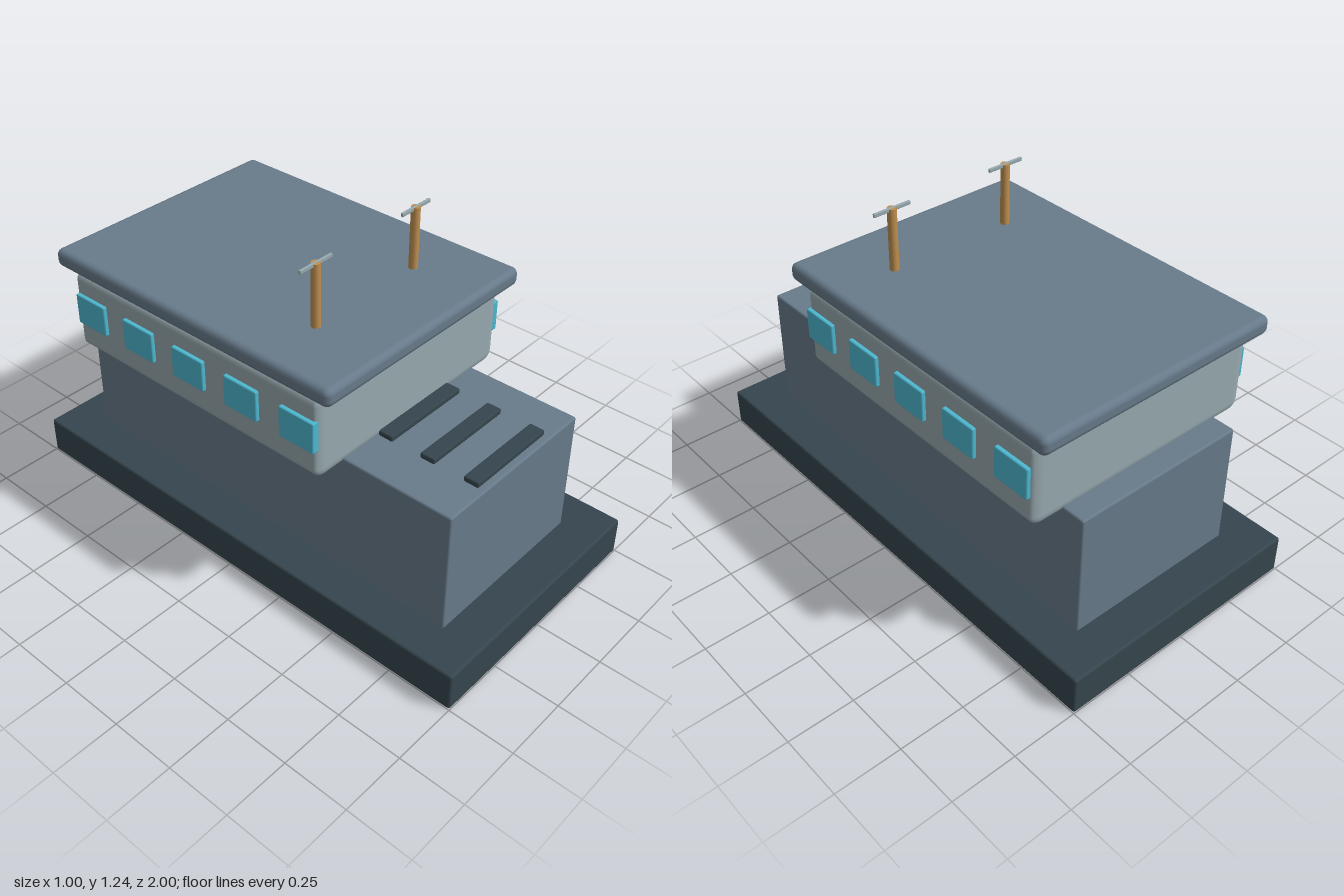
import * as THREE from 'three';
import { RoundedBoxGeometry } from 'three/addons/geometries/RoundedBoxGeometry.js';

const mat = (name, color) => new THREE.MeshStandardMaterial({ name, color });

export function createModel() {
  const model = new THREE.Group();
  model.name = 'boat';
  const dark = mat('dark slate', 0x36464e);
  const slate = mat('slate blue', 0x687b8b);
  const pale = mat('pale grey', 0x98aab0);
  const glass = mat('cyan glass', 0x4db8d0);
  const brass = mat('brass', 0xc09050);

  const add = (name, geometry, material, x, y, z) => {
    const mesh = new THREE.Mesh(geometry, material);
    mesh.name = name;
    mesh.position.set(x, y, z);
    model.add(mesh);
  };
  const box = (w, h, d, r, segments = 2) => new RoundedBoxGeometry(w, h, d, segments, r);

  // Base slab and engine body
  add('base', box(1, 0.15, 2, 0.01), dark, 0, 0.075, 0);
  add('body', box(0.7, 0.525, 1.7, 0.008), slate, 0, 0.3625, 0);

  // Cabin, with softer rounding across its width than along its length
  const cabin = box(0.76, 0.32, 2.34, 0.035, 3);
  cabin.scale(1.25, 1, 0.5);
  add('cabin', cabin, pale, 0, 0.766, -0.175);

  // Overhanging roof
  add('roof', box(1, 0.07, 1.3, 0.025), slate, 0, 0.965, -0.175);

  // Vent slats on the front deck
  for (const z of [0.8, 0.625, 0.45]) {
    add('ventSlat', box(0.37, 0.022, 0.058, 0.005, 1), dark, 0, 0.642, z);
  }

  for (const side of [-1, 1]) {
    // Row of side windows
    for (let i = 0; i < 5; i++) {
      add('window', box(0.03, 0.12, 0.15, 0.005, 1), glass, side * 0.475, 0.78, 0.33 - i * 0.25);
    }
    // Roof mast with its crossbar
    add('mast', new THREE.CylinderGeometry(0.017, 0.017, 0.24, 12), brass, side * 0.25, 1.117, 0.2);
    add('crossbar', box(0.15, 0.014, 0.01, 0.002, 1), pale, side * 0.25, 1.232, 0.2);
  }
  return model;
}
